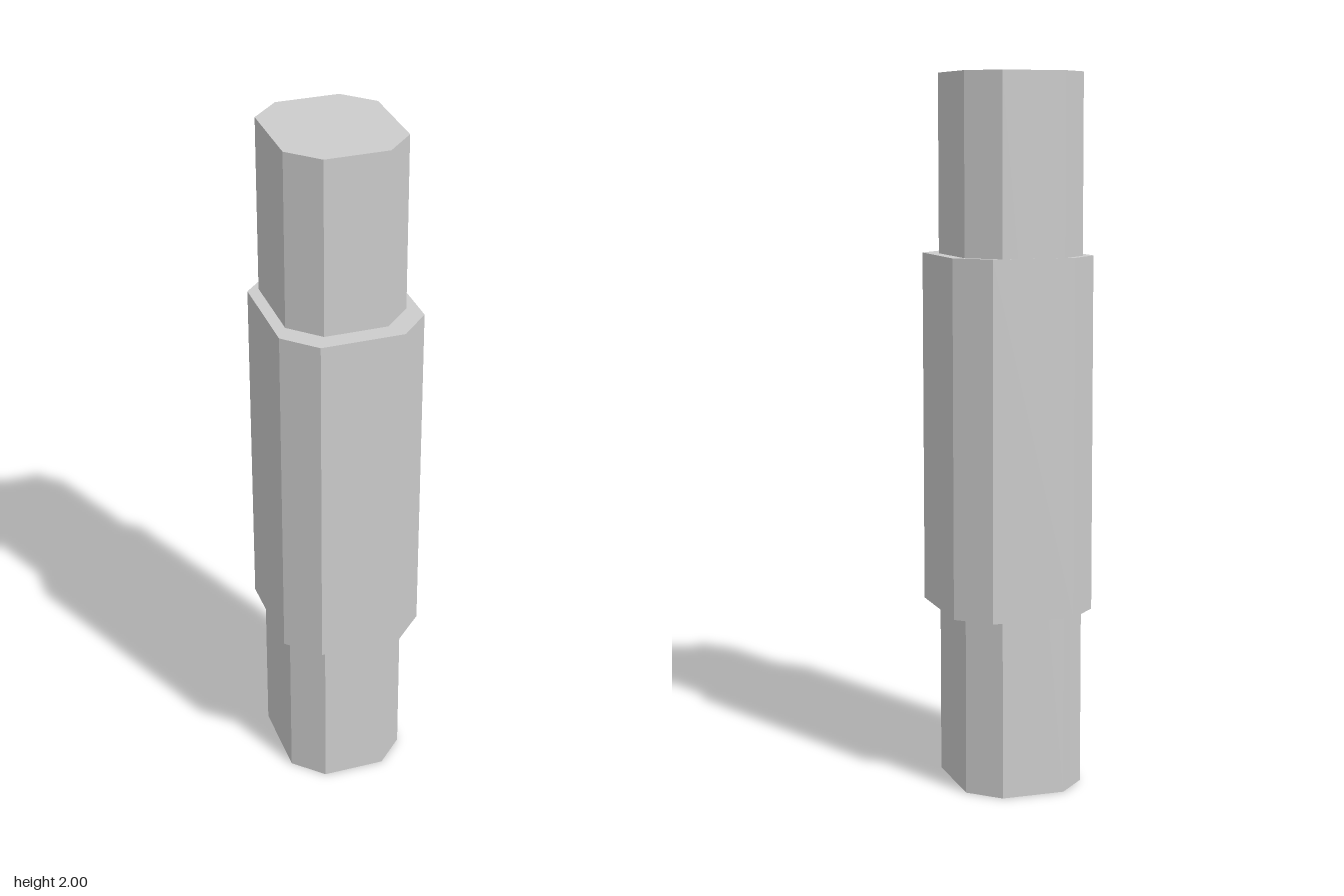
import * as THREE from 'three';

// Upright bar with a chamfered rectangular cross-section
function chamferedBar(name, halfX, zBack, zFront, chamfer, y0, y1, material) {
  const cx = halfX - chamfer;
  const shape = new THREE.Shape([
    [cx, -zFront], [halfX, -zFront + chamfer],
    [halfX, -zBack - chamfer], [cx, -zBack],
    [-cx, -zBack], [-halfX, -zBack - chamfer],
    [-halfX, -zFront + chamfer], [-cx, -zFront],
  ].map(([x, y]) => new THREE.Vector2(x, y)));
  const geometry = new THREE.ExtrudeGeometry(shape, { depth: y1 - y0, bevelEnabled: false });
  geometry.rotateX(-Math.PI / 2).translate(0, y0, 0);
  const mesh = new THREE.Mesh(geometry, material);
  mesh.name = name;
  return mesh;
}

export function createModel() {
  const grey = new THREE.MeshStandardMaterial({ color: 0xcccccc });
  grey.name = 'light grey';

  const model = new THREE.Group();
  model.name = 'sleevedRod';
  // Inner rod, set back so it sits almost flush with the back of the sleeve
  model.add(chamferedBar('rod', 0.171, -0.227, 0.173, 0.081, 0, 2, grey));
  // Wider sleeve around the middle half
  model.add(chamferedBar('sleeve', 0.204, -0.228, 0.228, 0.086, 0.5, 1.5, grey));
  return model;
}
